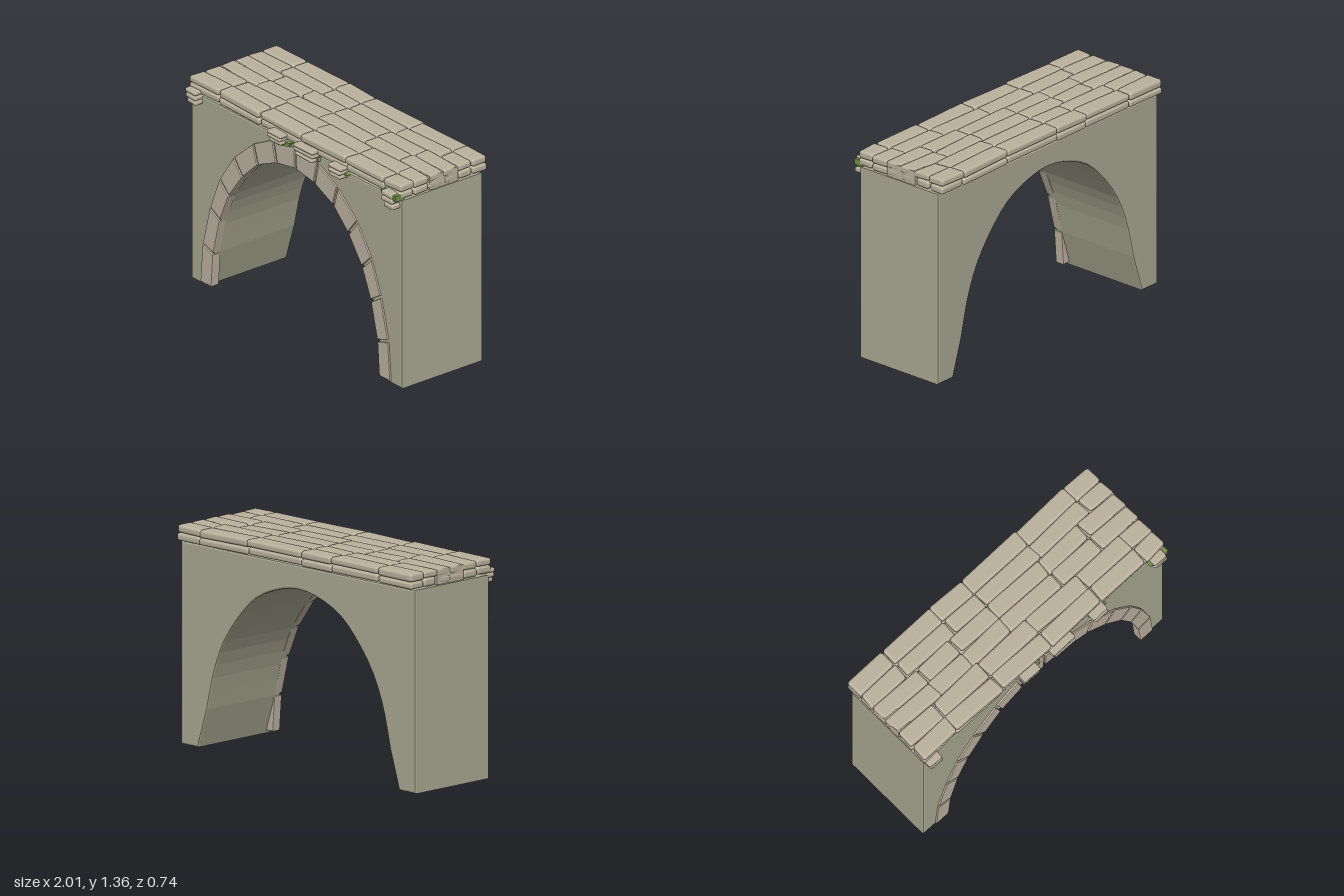
import * as THREE from 'three';
import { RoundedBoxGeometry } from 'three/addons/geometries/RoundedBoxGeometry.js';

const paint = (color) => new THREE.MeshStandardMaterial({ color });
const WALL = paint(0xaaa993), TAN = paint(0xbdb2a0), SLAB = paint(0xbab19c), MOSS = paint(0x6f8f45);

// small seeded generator, returns -1..1
let seed = 7;
const rnd = () => {
  seed = (seed * 16807) % 2147483647;
  return (seed / 2147483647) * 2 - 1;
};

// joints of the arch ring on the +x side, from crown to foot: inner x, y, outer x, y
const JOINTS = [
  [0, 1.11, 0, 1.245], [0.18, 1.08, 0.213, 1.22], [0.36, 1.0, 0.40, 1.125], [0.505, 0.865, 0.585, 0.965],
  [0.635, 0.69, 0.72, 0.77], [0.72, 0.495, 0.81, 0.55], [0.782, 0.25, 0.88, 0.28], [0.80, 0.015, 0.902, 0.015],
];

function addMesh(parent, name, geometry, material) {
  const mesh = new THREE.Mesh(geometry, material);
  mesh.name = name;
  parent.add(mesh);
  return mesh;
}

// extruded outline with a bevel that stays inside the outline
function slab(points, z0, z1, bevel) {
  const geo = new THREE.ExtrudeGeometry(new THREE.Shape(points), {
    depth: z1 - z0 - 2 * bevel, bevelEnabled: true, bevelThickness: bevel,
    bevelSize: bevel, bevelOffset: -bevel, bevelSegments: 2,
  });
  return geo.translate(0, 0, z0 + bevel);
}

// worn rounded stone filling a box, slightly skewed and tapered
function wornStone(x0, x1, y0, y1, z0, z1, wear = 1) {
  const w = x1 - x0, h = y1 - y0, d = z1 - z0;
  const geo = new RoundedBoxGeometry(w, h, d, 3, Math.min(h, d) * 0.32);
  const p = geo.attributes.position;
  const skew = rnd() * 0.006 * wear, taper = rnd() * 0.05 * wear, tilt = rnd() * 0.002 * wear, cut = rnd() * 0.008 * wear;
  for (let i = 0; i < p.count; i++) {
    const u = p.getX(i) / (w / 2), v = p.getZ(i) / (d / 2);
    p.setX(i, p.getX(i) + cut * v * (1 - Math.abs(u) * 0.3));
    p.setY(i, p.getY(i) + tilt * u - (p.getY(i) > 0 ? 0.004 * v * v : 0));
    p.setZ(i, p.getZ(i) * (1 + taper * u) + skew * u);
  }
  geo.computeBoundingBox();
  return geo.translate((x0 + x1) / 2, (y0 + y1) / 2, (z0 + z1) / 2);
}

function buildWall(group) {
  const upper = JOINTS.slice(0, 7).map((j) => new THREE.Vector3(j[0], j[1], 0));
  const mirrored = upper.slice(1).reverse().map((v) => new THREE.Vector3(-v.x, v.y, 0));
  const arch = new THREE.CatmullRomCurve3([...mirrored, ...upper]).getPoints(30);
  const outline = [[-1, 0.005], [-0.86, 0.005], ...arch.map((v) => [v.x, v.y]), [0.86, 0.005], [1, 0.005], [1, 1.26], [-1, 1.26]];
  addMesh(group, 'archWall', slab(outline.map(([x, y]) => new THREE.Vector2(x, y)), -0.33, 0.3, 0.012), WALL);
}

function buildRing(group) {
  const ring = new THREE.Group();
  ring.name = 'archRing';
  for (const side of [-1, 1]) {
    for (let i = 0; i < JOINTS.length - 1; i++) {
      const [a, b, c, d] = JOINTS[i], [e, f, g, h] = JOINTS[i + 1];
      // pull both ends in to leave an open joint
      const between = (x0, y0, x1, y1, gap) => {
        const t = gap / Math.hypot(x1 - x0, y1 - y0);
        return new THREE.Vector2(side * (x0 + (x1 - x0) * t), y0 + (y1 - y0) * t);
      };
      const gap = 0.009;
      const quad = [between(a, b, e, f, gap), between(e, f, a, b, gap), between(g, h, c, d, gap), between(c, d, g, h, gap)];
      addMesh(ring, 'archStone', slab(quad, 0.25, 0.312, 0.005), TAN);
    }
  }
  group.add(ring);
}

function buildDeck(group) {
  const deck = new THREE.Group();
  deck.name = 'deck';
  // each course holds two strips side by side and shares its cross joints
  const courses = [
    { z: [-0.368, -0.25, -0.142], x: [-1, -0.71, -0.31, -0.05, 0.405, 0.81, 1] },
    { z: [-0.142, -0.03, 0.082], x: [-1, -0.64, -0.37, -0.05, 0.37, 0.7, 1] },
    { z: [0.082, 0.2, 0.315], x: [-1, -0.725, -0.345, 0.06, 0.475, 0.84, 1] },
  ];
  courses.forEach(({ z, x }, course) => {
    for (let i = 0; i < x.length - 1; i++) {
      for (let s = 0; s < 2; s++) {
        const split = 1.317 + rnd() * 0.005;
        const ends = [x[i] + (i ? rnd() * 0.012 : 0), x[i + 1] - (i < 5 ? 0.004 : 0)];
        addMesh(deck, 'deckSlab', wornStone(ends[0], ends[1], split, 1.366 + rnd() * 0.002, z[s] + 0.001, z[s + 1] - 0.001), SLAB);
        const inset = course === 1 ? 0 : Math.abs(rnd()) * 0.01;
        addMesh(deck, 'underSlab', wornStone(ends[0], ends[1], 1.264 + Math.abs(rnd()) * 0.008, split,
          z[s] + inset, z[s + 1] - inset, 0.7), SLAB);
      }
    }
  });
  // plain filling stones that close the middle course at both ends
  for (const side of [-1, 1]) {
    addMesh(deck, 'endBlock', new THREE.BoxGeometry(0.1, 0.092, 0.222).translate(side * 0.948, 1.31, -0.03), TAN);
  }
  group.add(deck);
}

function buildBrackets(group) {
  // x range, bottom, top
  const spots = [[-1, -0.885, 1.207, 1.3], [-0.212, -0.078, 1.24, 1.312], [0.03, 0.215, 1.235, 1.31], [0.365, 0.495, 1.225, 1.3], [0.87, 0.985, 1.203, 1.31]];
  for (const [x0, x1, y0, y1] of spots) {
    const bracket = new THREE.Group();
    bracket.name = 'bracket';
    const h = (y1 - y0) / 3;
    for (let k = 0; k < 3; k++) {
      const inX = k === 0 ? 0.02 : Math.abs(rnd()) * 0.012;
      addMesh(bracket, 'bracketStone', wornStone(x0 + inX, x1 - Math.abs(rnd()) * 0.015, y0 + k * h, y0 + (k + 1) * h - 0.001,
        0.27, 0.364 - Math.abs(rnd()) * 0.012, 0.4), SLAB);
    }
    group.add(bracket);
  }
}

function buildMoss(group) {
  const patches = [
    [[-0.19, 1.25], [-0.16, 1.208], [-0.05, 1.235], [-0.04, 1.262]],
    [[0.1, 1.25], [0.13, 1.208], [0.23, 1.24], [0.22, 1.262]],
    [[0.37, 1.24], [0.4, 1.205], [0.51, 1.25], [0.48, 1.262]],
    [[0.85, 1.295], [0.87, 1.268], [0.998, 1.262], [0.998, 1.3]],
  ];
  patches.forEach((patch, i) => {
    const pts = patch.map(([x, y]) => new THREE.Vector2(x, y));
    addMesh(group, 'mossPatch', slab(pts, 0.28, i === 3 ? 0.345 : 0.318, 0.003), MOSS);
  });
}

export function createModel() {
  seed = 7;
  const model = new THREE.Group();
  model.name = 'stoneArchBridge';
  buildWall(model);
  buildRing(model);
  buildDeck(model);
  buildBrackets(model);
  buildMoss(model);
  return model;
}
